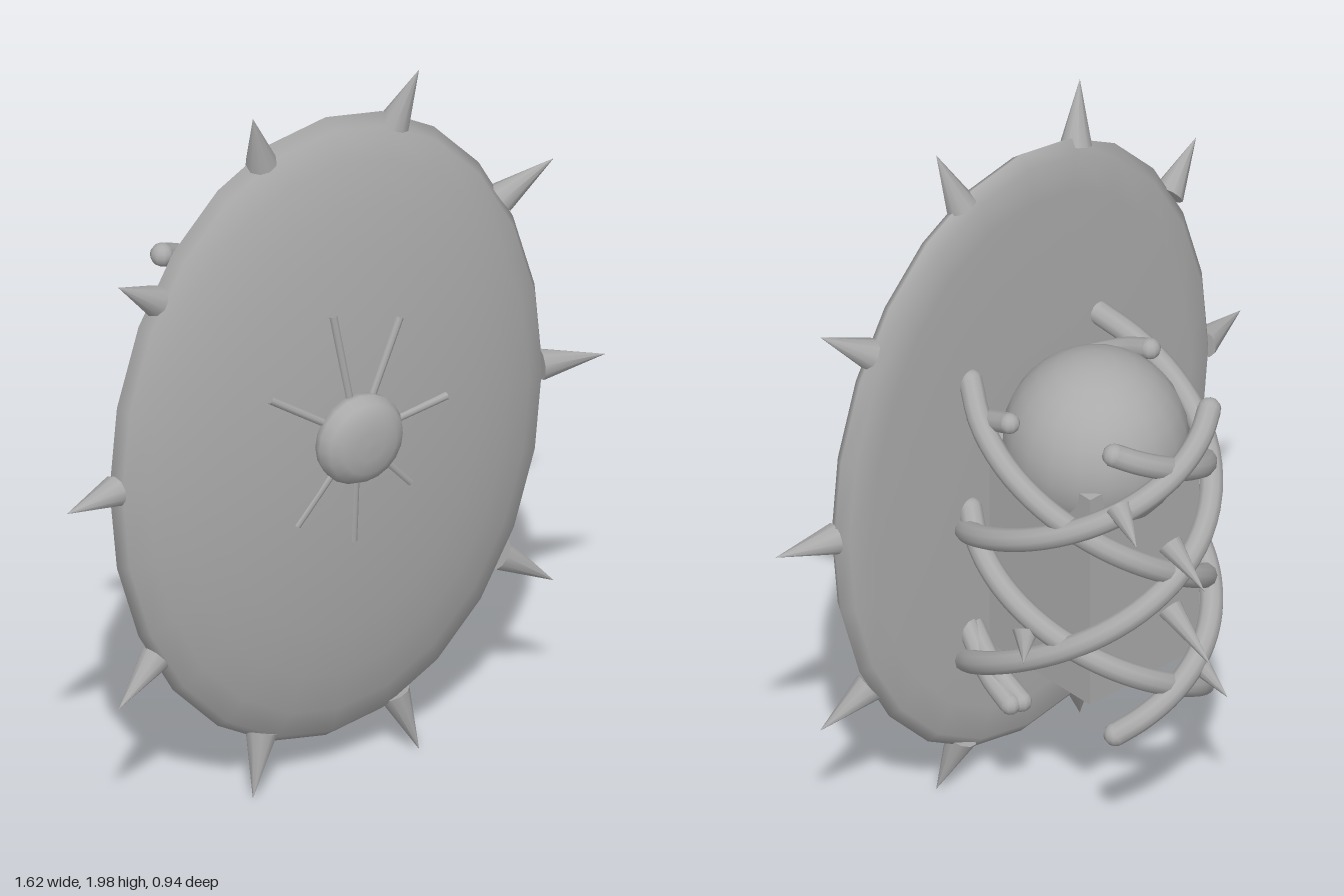
import * as THREE from 'three';

const stone = new THREE.MeshStandardMaterial({ color: 0xaaaaaa });
stone.name = 'plain grey';

const v = (x, y, z) => new THREE.Vector3(x, y, z);

function add(parent, name, geometry) {
  const mesh = new THREE.Mesh(geometry, stone);
  mesh.name = name;
  parent.add(mesh);
  return mesh;
}

// cone whose base is centred on one point and whose tip is at another
function spike(parent, name, base, tip, radius) {
  const dir = tip.clone().sub(base);
  const mesh = add(parent, name, new THREE.ConeGeometry(radius, dir.length(), 10));
  mesh.position.copy(base).add(tip).multiplyScalar(0.5);
  mesh.quaternion.setFromUnitVectors(v(0, 1, 0), dir.normalize());
}

// round tube with domed ends
function vine(parent, name, points, radius) {
  const curve = new THREE.CatmullRomCurve3(points);
  add(parent, name, new THREE.TubeGeometry(curve, points.length * 3, radius, 10));
  for (const p of [points[0], points[points.length - 1]]) {
    add(parent, name + 'End', new THREE.SphereGeometry(radius, 10, 8)).position.copy(p);
  }
}

// descending path round the body; angle 0 is the back, positive toward +x
function wrapPath(from, to, yStart, yEnd, side, size) {
  const points = [];
  for (let i = 0; i <= 14; i++) {
    const t = i / 14;
    const a = THREE.MathUtils.degToRad(from + (to - from) * t);
    points.push(v(side * 0.3 * size * Math.sin(a), yStart + (yEnd - yStart) * t,
      -0.335 * size * Math.cos(a)));
  }
  return points;
}

// turns a back-to-front profile into a disc facing +z
function disc(profile, segments) {
  const g = new THREE.LatheGeometry(profile.map(([r, z]) => new THREE.Vector2(r, z)), segments);
  return g.rotateX(Math.PI / 2);
}

export function createModel() {
  const model = new THREE.Group();
  model.name = 'spikedShield';

  // oval shield plate with a shallow domed front
  const plate = add(model, 'shieldPlate', disc([
    [0, 0.208], [0.5, 0.207], [0.85, 0.21], [0.96, 0.222], [1, 0.25], [0.97, 0.282],
    [0.88, 0.315], [0.75, 0.343], [0.6, 0.365], [0.4, 0.385], [0.2, 0.396], [0, 0.4]], 24));
  plate.scale.set(0.65, 0.9, 1);
  plate.position.y = 1;

  // central boss
  const boss = add(model, 'boss', disc([
    [0, 0.36], [0.1, 0.37], [0.122, 0.395], [0.125, 0.42], [0.11, 0.447],
    [0.08, 0.464], [0.04, 0.47], [0, 0.471]], 20));
  boss.position.y = 1.04;

  // thin rays spreading from the boss
  const rays = [[-0.06, 1.4], [0.14, 1.34], [0.28, 1.07], [0.17, 0.85],
    [0, 0.73], [-0.17, 0.82], [-0.25, 1.21]];
  for (const [x, y] of rays) {
    const curve = new THREE.LineCurve3(
      v(x * 0.3, 1.04 + (y - 1.04) * 0.3, 0.396), v(x, y, 0.383));
    add(model, 'ray', new THREE.TubeGeometry(curve, 2, 0.011, 8));
  }

  // ten rim spikes
  const rim = [[0.64, 0, 0.81, 0], [0.52, 0.52, 0.655, 0.615], [0.2, 0.83, 0.25, 0.99]];
  for (const sx of [-1, 1]) {
    for (const [bx, by, tx, ty] of rim) {
      for (const sy of by ? [-1, 1] : [1]) {
        spike(model, 'rimSpike', v(sx * bx, 1 + sy * by, 0.26),
          v(sx * tx, 1 + sy * ty, 0.3), 0.042);
      }
    }
  }

  // domed block behind the shield
  add(model, 'bodyDome', new THREE.SphereGeometry(0.24, 20, 14)).position.set(0, 1.16, -0.03);
  add(model, 'bodyBlock', new THREE.BoxGeometry(0.38, 0.64, 0.38)).position.set(0, 0.83, -0.025);

  // crossing vines, mirrored left and right
  for (const side of [1, -1]) {
    const size = side > 0 ? 1 : 0.95;
    const g = new THREE.Group();
    g.name = side > 0 ? 'leftTurningVines' : 'rightTurningVines';
    model.add(g);
    vine(g, 'longVine', wrapPath(-130, 130, 1.32, 0.45, side, size), 0.031);
    vine(g, 'upperVine', wrapPath(-33, 130, 1.3, 0.86, side, size), 0.031);
    vine(g, 'lowerVine', wrapPath(-130, 33, 0.92, 0.44, side, size), 0.031);
    vine(g, 'topStub', [v(side * 0.245, 1.29, 0.03), v(side * 0.235, 1.25, 0.12),
      v(side * 0.19, 1.19, 0.23)], 0.028);
    vine(g, 'bottomStub', [v(side * 0.24, 0.44, -0.01), v(side * 0.235, 0.49, 0.1),
      v(side * 0.19, 0.54, 0.23)], 0.028);
    vine(g, 'lowStub', [v(side * 0.27, 0.44, 0), v(side * 0.25, 0.47, 0.1),
      v(side * 0.21, 0.55, 0.23)], 0.028);
  }

  // thorns along the back
  const thorns = [[0.16, 1.15, -0.29, 0.19, 1.09, -0.39], [0, 0.97, -0.31, 0, 0.89, -0.44],
    [0, 0.77, -0.31, 0, 0.67, -0.465], [-0.08, 0.58, -0.31, -0.1, 0.5, -0.42],
    [0.29, 0.72, -0.08, 0.335, 0.66, -0.12], [-0.29, 1.04, -0.02, -0.34, 1.1, -0.04]];
  for (const [a, b, c, d, e, f] of thorns) spike(model, 'thorn', v(a, b, c), v(d, e, f), 0.034);

  return model;
}
